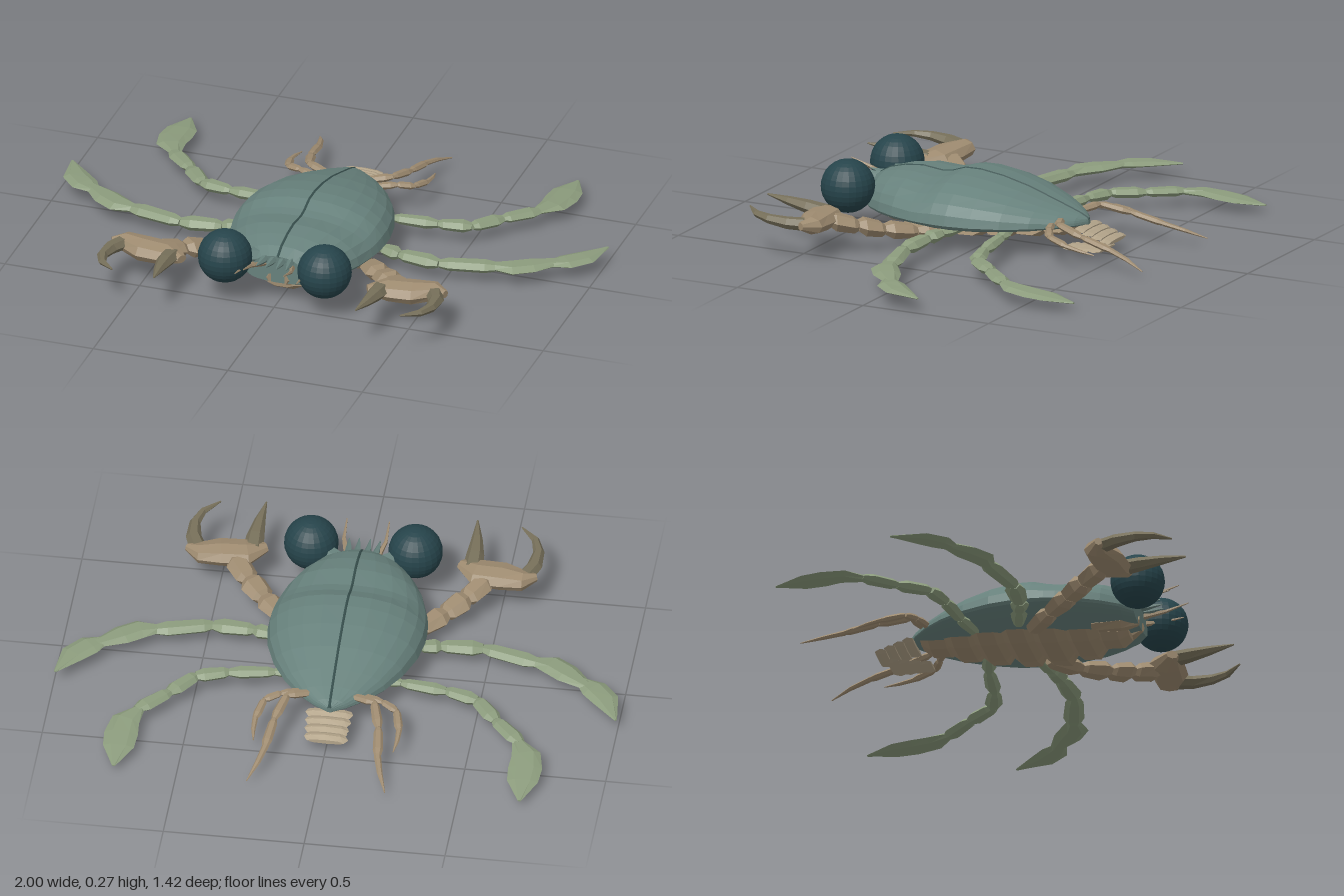
import * as THREE from 'three';

const mat = (color) => new THREE.MeshStandardMaterial({ color, flatShading: true });
const M = {
  shell: mat(0x67817c), ridge: mat(0x38504e), eye: mat(0x26444b), leg: mat(0x8c9c7d),
  tan: mat(0x9e8b70), tail: mat(0xb3a48a), finger: mat(0x77705a),
};

// Loft through sections [x, y, z, halfWidth, halfHeight]; rings stay upright, across the path.
function loft(secs, sides = 6, profile = (a) => [Math.cos(a), Math.sin(a)]) {
  const pos = [], idx = [], n = secs.length;
  secs.forEach(([x, y, z, w, h], i) => {
    const p = secs[Math.max(i - 1, 0)], q = secs[Math.min(i + 1, n - 1)];
    const dx = q[0] - p[0], dz = q[2] - p[2], l = Math.hypot(dx, dz) || 1;
    for (let k = 0; k < sides; k++) {
      const [u, v] = profile((k / sides) * Math.PI * 2);
      pos.push(x + (dz / l) * u * w, y + v * h, z - (dx / l) * u * w);
    }
  });
  for (let i = 0; i < n - 1; i++) for (let k = 0; k < sides; k++) {
    const a = i * sides + k, b = i * sides + ((k + 1) % sides);
    idx.push(a, b, a + sides, b, b + sides, a + sides);
  }
  const e = (n - 1) * sides;
  for (let k = 1; k < sides - 1; k++) idx.push(0, k + 1, k, e, e + k, e + k + 1);
  const g = new THREE.BufferGeometry();
  g.setAttribute('position', new THREE.Float32BufferAttribute(pos, 3));
  g.setIndex(idx);
  const flat = g.toNonIndexed();
  flat.computeVertexNormals();
  return flat;
}

function add(parent, name, geo, material) {
  const m = new THREE.Mesh(geo, material);
  m.name = name;
  parent.add(m);
  return m;
}

const flip = (secs, s) => secs.map(([x, ...r]) => [x * s, ...r]);

// A chain of separate links, each pinched at its joints.
function chain(parent, name, joints, s, material) {
  const pts = flip(joints, s);
  for (let i = 0; i < pts.length - 1; i++) {
    const a = pts[i], b = pts[i + 1];
    const at = (t, f) => a.map((v, k) => (v + (b[k] - v) * t) * (k > 2 ? f : 1));
    add(parent, name, loft([at(0, 0.6), at(0.15, 0.95), at(0.75, 1.1), at(1, 0.65)]), material);
  }
}

// Carapace outline: [z, half width, top height]
const OUTLINE = [
  [-0.37, 0.008, 0.125], [-0.34, 0.06, 0.14], [-0.29, 0.12, 0.158], [-0.22, 0.178, 0.182], [-0.13, 0.23, 0.212],
  [-0.03, 0.266, 0.236], [0.06, 0.28, 0.248], [0.12, 0.28, 0.247], [0.17, 0.275, 0.23], [0.21, 0.267, 0.224],
  [0.29, 0.243, 0.233], [0.36, 0.208, 0.226], [0.42, 0.165, 0.21], [0.46, 0.11, 0.188],
];
const RIM = 0.108;

function buildBody(root) {
  const body = new THREE.Group();
  body.name = 'body';
  root.add(body);
  const dome = (a) => {
    const c = Math.cos(a), s = Math.sin(a);
    return [Math.sign(c) * Math.abs(c) ** 0.9, s > 0 ? s : 0.3 * s];
  };
  add(body, 'carapace', loft(OUTLINE.map(([z, w, t]) => [0, RIM, z, w, t - RIM]), 24, dome), M.shell);
  add(body, 'centreRidge', loft(OUTLINE.map(([z, , t]) => [0, t - 0.002, z, 0.007, 0.005]), 4), M.ridge);

  // Overlapping plates under the body
  const plates = [[0.36, 0.07, 0.05], [0.26, 0.13, 0.043], [0.15, 0.16, 0.043], [0.04, 0.16, 0.052],
    [-0.07, 0.14, 0.06], [-0.17, 0.11, 0.068], [-0.26, 0.075, 0.08]];
  for (const [z, w, y] of plates) {
    add(body, 'bellyPlate', loft([
      [0, y + 0.018, z - 0.065, w * 0.6, 0.012], [0, y, z - 0.03, w, 0.02],
      [0, y - 0.003, z + 0.03, w, 0.02], [0, y + 0.01, z + 0.065, w * 0.65, 0.01]], 6), M.tan);
  }

  // Tail plates, folding under the rear
  for (let i = 0; i < 4; i++) {
    const z = -0.365 - i * 0.033, y = 0.095 - i * 0.01, w = 0.085 - i * 0.003;
    add(body, 'tailPlate', loft([[0, y - 0.004, z - 0.019, w * 0.85, 0.007],
      [0, y, z, w, 0.012], [0, y, z + 0.019, w * 0.9, 0.008]], 8), M.tail);
  }
  for (let i = 0; i < 4; i++) {
    const z = -0.42 + i * 0.037, w = 0.075 - i * 0.008, y = 0.024 - i * 0.003;
    add(body, 'foldedTailPlate', loft([[0, y, z - 0.021, w * 0.8, 0.005],
      [0, y, z, w, 0.009], [0, y, z + 0.021, w * 0.85, 0.005]], 8), M.tail);
  }
}

function buildHead(root, s) {
  const head = new THREE.Group();
  head.name = s > 0 ? 'leftHead' : 'rightHead';
  root.add(head);
  const eye = add(head, 'eye', new THREE.SphereGeometry(0.096, 24, 16), M.eye);
  eye.position.set(0.185 * s, 0.177, 0.492);
  add(head, 'eyeStalk', loft(flip([[0.07, 0.16, 0.42, 0.03, 0.03], [0.16, 0.17, 0.47, 0.035, 0.035]], s)), M.shell);
  // Brow spines and feelers
  for (const [x, z] of [[0.018, 0.535], [0.05, 0.53]]) {
    add(head, 'browSpine', loft(flip([[x * 0.9, 0.17, 0.43, 0.016, 0.018],
      [x, 0.172, 0.48, 0.012, 0.012], [x * 1.1, 0.178, z, 0.002, 0.002]], s), 5), M.shell);
  }
  for (const [x, y, z, tx, ty, tz] of [[0.05, 0.15, 0.45, 0.075, 0.2, 0.615], [0.085, 0.14, 0.44, 0.115, 0.165, 0.59]]) {
    add(head, 'feeler', loft(flip([[x, y, z, 0.012, 0.012],
      [(x + tx) / 2 + 0.012, (y + ty) / 2, (z + tz) / 2, 0.007, 0.007], [tx, ty, tz, 0.002, 0.002]], s), 5), M.tan);
  }
  // Mouthpart
  add(head, 'mouthpart', loft(flip([[0.06, 0.07, 0.3, 0.045, 0.02], [0.05, 0.08, 0.4, 0.04, 0.025],
    [0.025, 0.1, 0.46, 0.015, 0.018]], s)), M.tan);
}

function buildClaw(root, s) {
  const claw = new THREE.Group();
  claw.name = s > 0 ? 'leftClaw' : 'rightClaw';
  root.add(claw);
  chain(claw, 'clawArm', [[0.13, 0.055, 0.1, 0.036, 0.026], [0.24, 0.065, 0.19, 0.038, 0.028], [0.32, 0.08, 0.275, 0.046, 0.03],
    [0.385, 0.1, 0.345, 0.046, 0.032], [0.45, 0.125, 0.43, 0.04, 0.032]], s, M.tan);
  add(claw, 'palm', loft(flip([[0.345, 0.135, 0.495, 0.022, 0.015], [0.41, 0.13, 0.46, 0.064, 0.035],
    [0.5, 0.13, 0.452, 0.064, 0.038], [0.575, 0.135, 0.432, 0.045, 0.032], [0.62, 0.14, 0.45, 0.014, 0.014]], s), 8), M.tan);
  add(claw, 'innerFinger', loft(flip([[0.39, 0.135, 0.47, 0.038, 0.026], [0.39, 0.145, 0.54, 0.032, 0.024],
    [0.385, 0.155, 0.62, 0.02, 0.016], [0.375, 0.165, 0.71, 0.003, 0.003]], s)), M.finger);
  add(claw, 'outerFinger', loft(flip([[0.575, 0.138, 0.44, 0.032, 0.024], [0.605, 0.143, 0.51, 0.028, 0.022],
    [0.61, 0.15, 0.58, 0.02, 0.017], [0.59, 0.156, 0.64, 0.014, 0.012], [0.535, 0.163, 0.695, 0.003, 0.003]], s)), M.finger);
}

function buildLegs(root, s) {
  const legs = new THREE.Group();
  legs.name = s > 0 ? 'leftLegs' : 'rightLegs';
  root.add(legs);
  // Rear swimming leg with paddle
  chain(legs, 'rearLeg', [[0.1, 0.08, -0.11, 0.022, 0.016], [0.225, 0.08, -0.138, 0.024, 0.018], [0.385, 0.075, -0.155, 0.026, 0.019],
    [0.5, 0.07, -0.185, 0.03, 0.019], [0.58, 0.065, -0.285, 0.03, 0.017], [0.68, 0.06, -0.39, 0.03, 0.015]], s, M.leg);
  add(legs, 'rearPaddle', loft(flip([[0.665, 0.06, -0.375, 0.015, 0.01], [0.71, 0.056, -0.45, 0.052, 0.013],
    [0.717, 0.05, -0.52, 0.06, 0.012], [0.717, 0.045, -0.59, 0.055, 0.01], [0.72, 0.036, -0.69, 0.006, 0.003]], s)), M.leg);
  // Front swimming leg with broad links
  chain(legs, 'frontLeg', [[0.13, 0.08, 0.05, 0.024, 0.016], [0.26, 0.075, 0.082, 0.028, 0.02], [0.33, 0.072, 0.1, 0.032, 0.022],
    [0.48, 0.068, 0.112, 0.034, 0.022], [0.69, 0.065, 0.06, 0.034, 0.018]], s, M.leg);
  add(legs, 'frontPaddleBase', loft(flip([[0.67, 0.066, 0.065, 0.024, 0.014], [0.73, 0.066, 0.055, 0.05, 0.018],
    [0.79, 0.065, 0.015, 0.05, 0.017], [0.87, 0.064, -0.045, 0.022, 0.011]], s)), M.leg);
  add(legs, 'frontPaddle', loft(flip([[0.845, 0.064, -0.02, 0.022, 0.01], [0.895, 0.063, -0.055, 0.05, 0.013],
    [0.945, 0.061, -0.11, 0.048, 0.011], [0.995, 0.058, -0.215, 0.005, 0.003]], s)), M.leg);
  // Thin trailing legs
  chain(legs, 'longTrailingLeg', [[0.06, 0.125, -0.29, 0.015, 0.012], [0.155, 0.135, -0.33, 0.017, 0.013],
    [0.185, 0.11, -0.44, 0.017, 0.012], [0.2, 0.08, -0.57, 0.016, 0.01]], s, M.tan);
  add(legs, 'longTrailingTip', loft(flip([[0.198, 0.082, -0.56, 0.013, 0.009], [0.217, 0.062, -0.635, 0.01, 0.007],
    [0.245, 0.036, -0.71, 0.002, 0.002]], s)), M.tan);
  chain(legs, 'shortTrailingLeg', [[0.09, 0.115, -0.27, 0.014, 0.011], [0.18, 0.12, -0.305, 0.015, 0.012],
    [0.235, 0.11, -0.335, 0.015, 0.011], [0.255, 0.09, -0.42, 0.014, 0.01]], s, M.tan);
  add(legs, 'shortTrailingTip', loft(flip([[0.255, 0.092, -0.41, 0.011, 0.008], [0.255, 0.08, -0.47, 0.008, 0.006],
    [0.248, 0.07, -0.52, 0.002, 0.002]], s)), M.tan);
}

export function createModel() {
  const root = new THREE.Group();
  root.name = 'swimmingCrab';
  buildBody(root);
  for (const s of [1, -1]) {
    buildHead(root, s);
    buildClaw(root, s);
    buildLegs(root, s);
  }
  return root;
}
